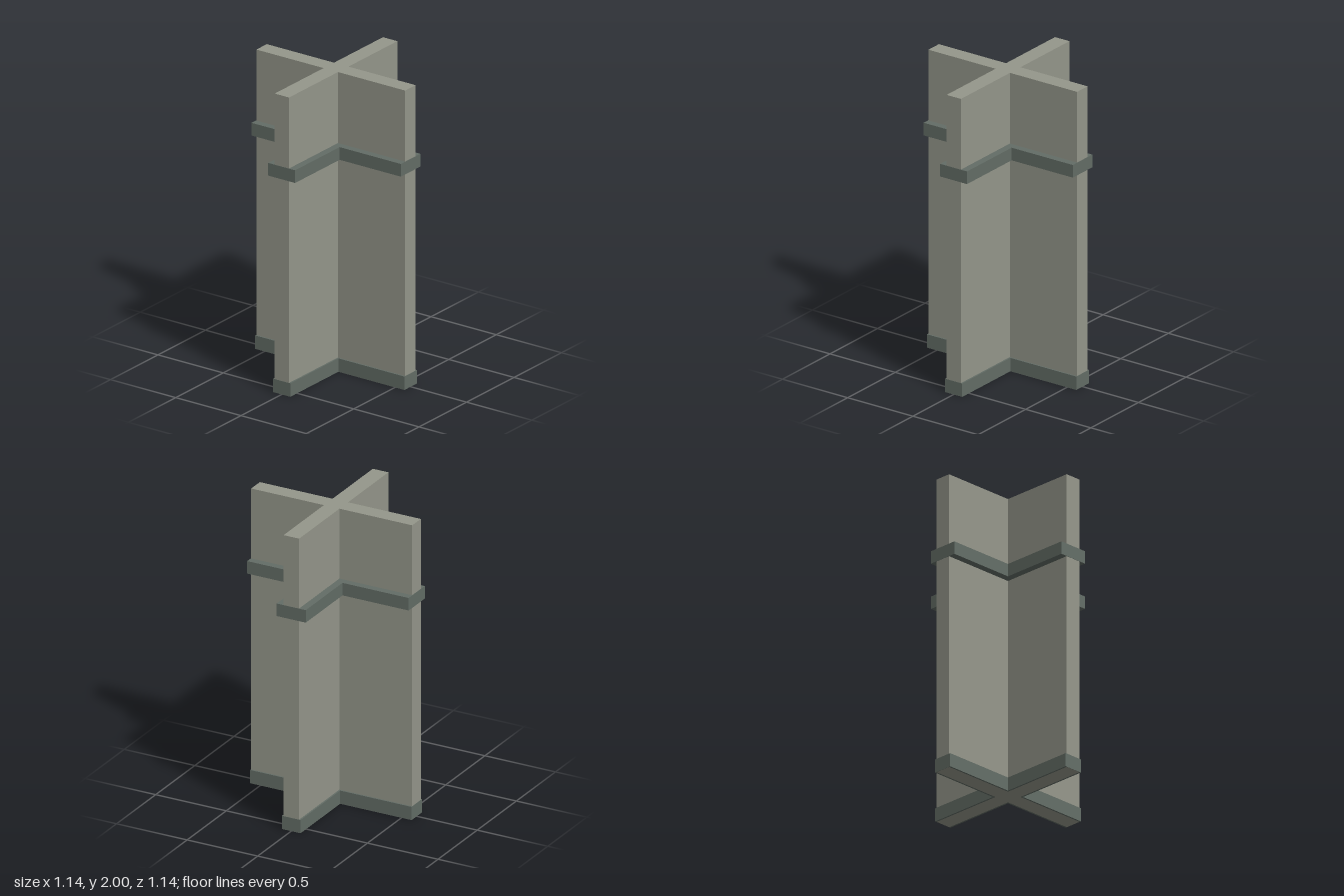
import * as THREE from 'three';

// Plus-shaped outline: arm half-length a, arm half-width w
function crossPoints(a, w) {
  return [
    [w, w], [w, a], [-w, a], [-w, w], [-a, w], [-a, -w],
    [-w, -w], [-w, -a], [w, -a], [w, -w], [a, -w], [a, w],
  ].map(([x, y]) => new THREE.Vector2(x, y));
}

// Upright prism from a plus outline, with an optional inner outline cut out
function crossPrism(name, material, outer, inner, y0, y1) {
  const shape = new THREE.Shape(outer);
  if (inner) shape.holes.push(new THREE.Path(inner));
  const geometry = new THREE.ExtrudeGeometry(shape, { depth: y1 - y0, bevelEnabled: false });
  geometry.rotateX(-Math.PI / 2);
  geometry.translate(0, y0, 0);
  const mesh = new THREE.Mesh(geometry, material);
  mesh.name = name;
  return mesh;
}

export function createModel() {
  const stone = new THREE.MeshStandardMaterial({ color: 0x95978b });
  stone.name = 'pale stone';
  const trim = new THREE.MeshStandardMaterial({ color: 0x636d66 });
  trim.name = 'grey green trim';

  const group = new THREE.Group();
  group.name = 'crossPillar';

  const wall = crossPoints(0.57, 0.055);

  // Crossed walls
  group.add(crossPrism('crossWalls', stone, wall, null, 0, 2));

  // Slim skirting and the wider upper band, wrapped around the walls
  group.add(crossPrism('baseTrim', trim, crossPoints(0.572, 0.066), wall, 0, 0.09));
  group.add(crossPrism('upperBand', trim, crossPoints(0.572, 0.103), wall, 1.44, 1.525));

  return group;
}
